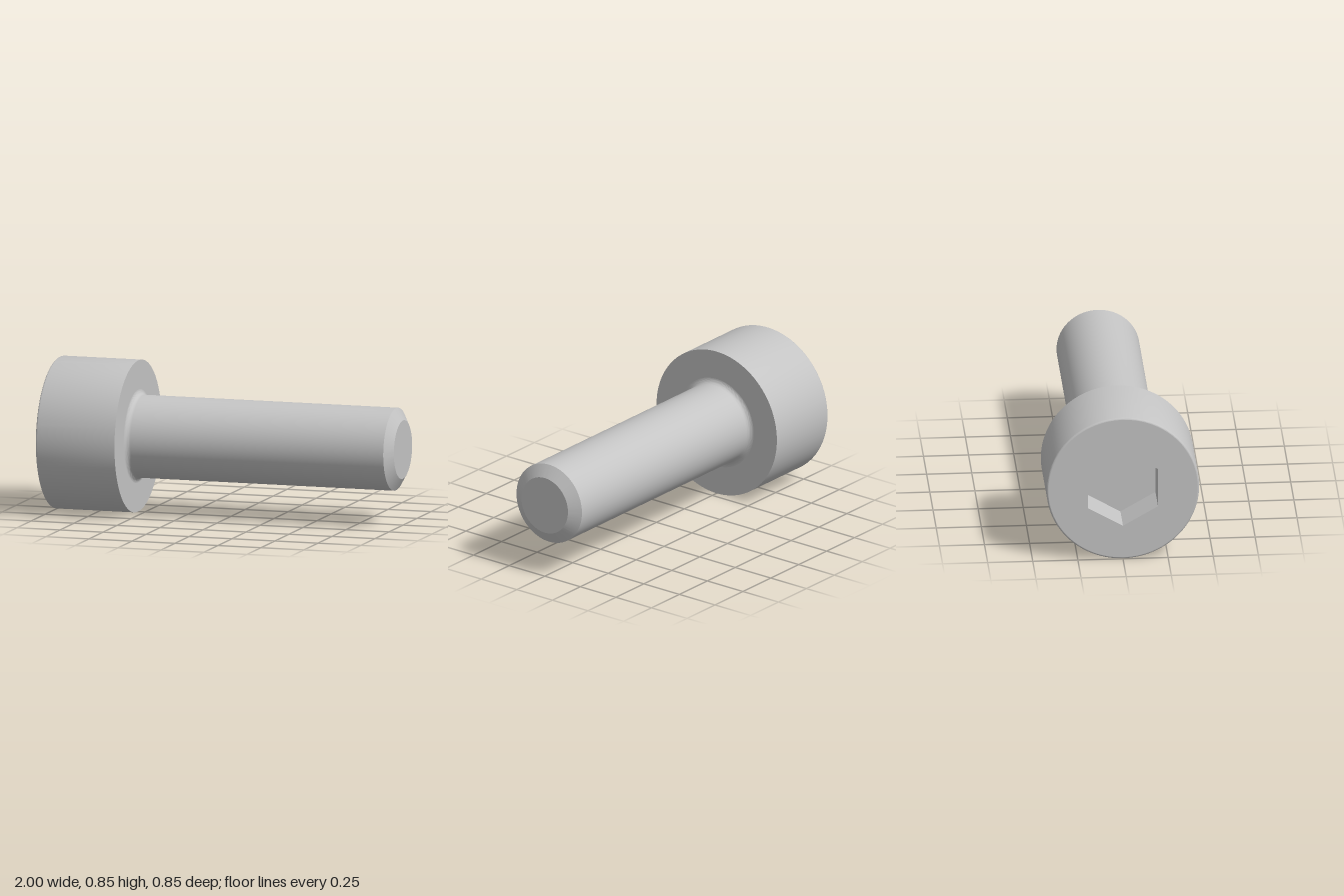
import * as THREE from 'three';
import { toCreasedNormals } from 'three/addons/utils/BufferGeometryUtils.js';

const HEAD_R = 0.423, HEAD_END = -1, HEAD_SEAT = -0.54;
const SHANK_R = 0.23, TIP = 1, TIP_R = 0.163;
const HEX_R = 0.224, HEX_DEPTH = 0.2;
const EDGE = 0.01, FILLET = 0.03, SIDES = 128;

export function createModel() {
  const steel = new THREE.MeshStandardMaterial({ color: 0xc4c4c4 });
  steel.name = 'steel grey';

  const screw = new THREE.Group();
  screw.name = 'socketHeadScrew';
  screw.position.y = HEAD_R;

  const add = (name, geometry) => {
    const mesh = new THREE.Mesh(geometry, steel);
    mesh.name = name;
    screw.add(mesh);
  };

  // Turned part: profile of [x, radius] pairs spun around the x axis
  const turned = (profile) => {
    const points = profile.map(([x, r]) => new THREE.Vector2(r, x));
    const geometry = new THREE.LatheGeometry(points, SIDES).rotateZ(-Math.PI / 2);
    return toCreasedNormals(geometry, 0.5);
  };

  // Quarter arc of [x, radius] pairs
  const arc = (cx, cr, size, from, to, steps) =>
    Array.from({ length: steps + 1 }, (_, i) => {
      const a = from + ((to - from) * i) / steps;
      return [cx + size * Math.cos(a), cr + size * Math.sin(a)];
    });

  // Head side with a slightly rounded outer edge, and its flat underside
  add('head', turned([
    ...arc(HEAD_END + EDGE, HEAD_R - EDGE, EDGE, Math.PI, Math.PI / 2, 4),
    [HEAD_SEAT, HEAD_R],
    [HEAD_SEAT, SHANK_R + FILLET],
  ]));

  // Shank with a fillet under the head and a chamfered tip
  add('shank', turned([
    ...arc(HEAD_SEAT + FILLET, SHANK_R + FILLET, FILLET, Math.PI, Math.PI * 1.5, 8),
    [0.96, SHANK_R],
    [TIP, TIP_R],
    [TIP, 0],
  ]));

  // Head end face with the hexagonal opening
  const face = new THREE.Shape().absarc(0, 0, HEAD_R - EDGE, 0, Math.PI * 2);
  const hexagon = Array.from({ length: 6 }, (_, i) => {
    const a = Math.PI / 2 - (i * Math.PI) / 3;
    return new THREE.Vector2(HEX_R * Math.cos(a), HEX_R * Math.sin(a));
  });
  face.holes.push(new THREE.Path(hexagon));
  add('headFace', new THREE.ShapeGeometry(face, SIDES)
    .rotateY(-Math.PI / 2).translate(HEAD_END, 0, 0));

  // Socket walls, mirrored so that they face inwards
  const walls = new THREE.CylinderGeometry(HEX_R, HEX_R, HEX_DEPTH, 6, 1, true, Math.PI / 2)
    .scale(-1, 1, 1)
    .rotateZ(-Math.PI / 2)
    .translate(HEAD_END + HEX_DEPTH / 2, 0, 0)
    .toNonIndexed();
  walls.computeVertexNormals();
  add('socketWalls', walls);

  // Socket floor
  add('socketFloor', new THREE.CircleGeometry(HEX_R, 6, Math.PI / 2)
    .rotateY(-Math.PI / 2).translate(HEAD_END + HEX_DEPTH, 0, 0));

  return screw;
}
